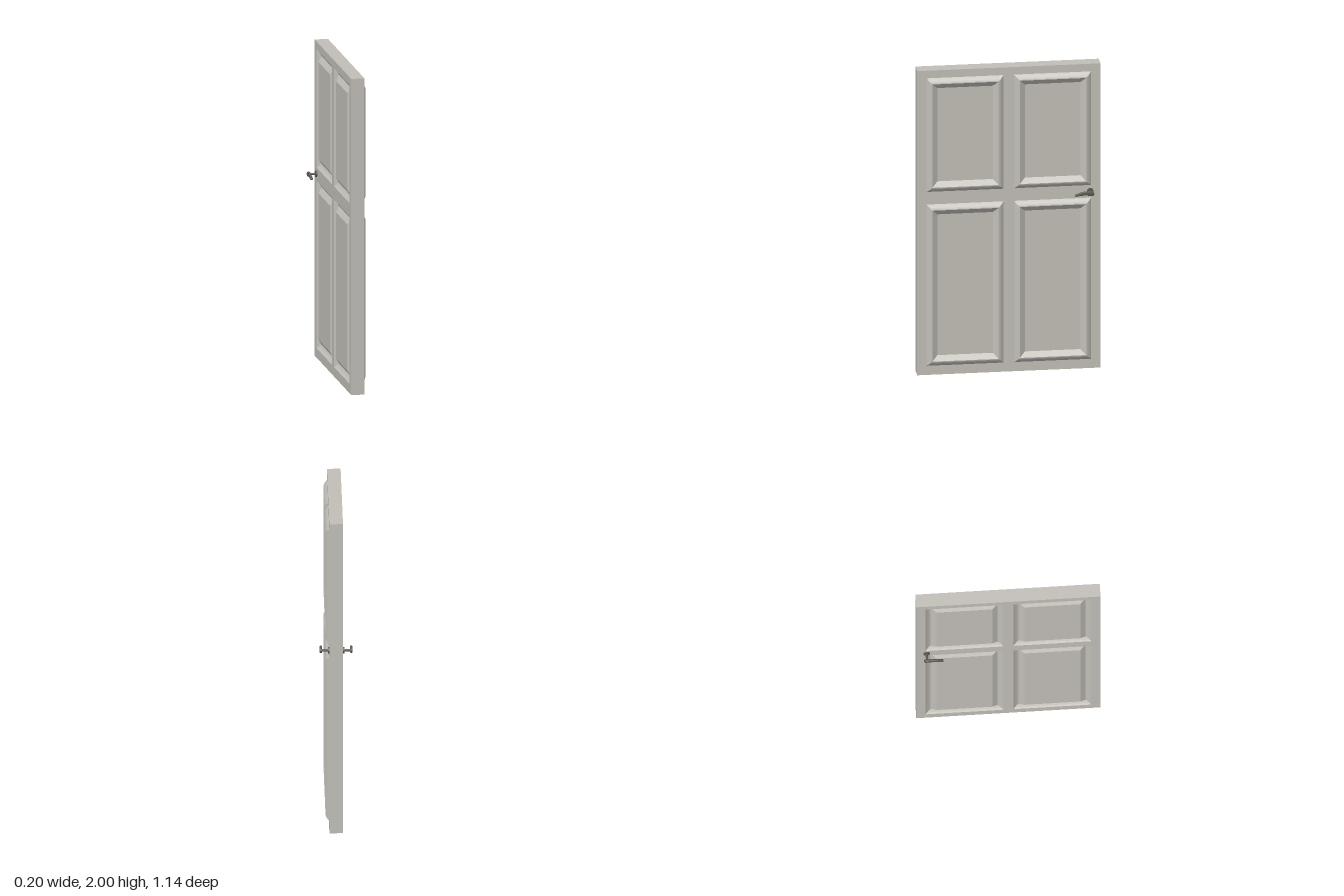
import * as THREE from 'three';

const HALF = 0.042; // half the slab thickness
const WIDTH = 1.14;
const HEIGHT = 2;

const doorPaint = new THREE.MeshStandardMaterial({ color: 0xc2bfb8 });
doorPaint.name = 'doorPaint';
const handleMetal = new THREE.MeshStandardMaterial({ color: 0x5e5a4f });
handleMetal.name = 'handleMetal';

// Panel openings: two columns by two rows
const openings = [];
for (const [z0, z1] of [[0.032, 0.512], [-0.512, -0.032]]) {
  for (const [y0, y1] of [[0.06, 1.12], [1.203, 1.95]]) openings.push({ z0, z1, y0, y1 });
}

// Moulding section as [inset from opening edge, offset along x]
const moulding = [[0, 0], [0.009, 0.009], [0.019, 0.017], [0.028, 0.022], [0.034, 0.023], [0.067, 0]];

// Nested mitred rectangles closed by a flat centre panel; side is the face it sits on
function panelGeometry({ z0, z1, y0, y1 }, side) {
  const rings = moulding.map(([d, offset]) => {
    const x = side * HALF + offset;
    return [[x, y0 + d, z0 + d], [x, y1 - d, z0 + d], [x, y1 - d, z1 - d], [x, y0 + d, z1 - d]];
  });
  const positions = [];
  const quad = (a, b, c, d) => {
    const corners = side > 0 ? [a, b, c, a, c, d] : [a, c, b, a, d, c];
    corners.forEach((p) => positions.push(...p));
  };
  for (let r = 0; r < rings.length - 1; r++) {
    for (let i = 0; i < 4; i++) {
      const j = (i + 1) % 4;
      quad(rings[r][i], rings[r][j], rings[r + 1][j], rings[r + 1][i]);
    }
  }
  quad(...rings[rings.length - 1]);
  const geometry = new THREE.BufferGeometry();
  geometry.setAttribute('position', new THREE.Float32BufferAttribute(positions, 3));
  geometry.computeVertexNormals();
  return geometry;
}

// Slab with four openings, extruded through its thickness
function slabGeometry() {
  const rect = (path, a, b, c, d) =>
    path.moveTo(a, b).lineTo(c, b).lineTo(c, d).lineTo(a, d).closePath();
  const shape = new THREE.Shape();
  rect(shape, -WIDTH / 2, 0, WIDTH / 2, HEIGHT);
  for (const { z0, z1, y0, y1 } of openings) {
    const hole = new THREE.Path();
    rect(hole, z0, y0, z1, y1);
    shape.holes.push(hole);
  }
  return new THREE.ExtrudeGeometry(shape, { depth: HALF * 2, bevelEnabled: false })
    .translate(0, 0, -HALF)
    .rotateY(-Math.PI / 2);
}

// Curved lever with rounded edges, tapering toward its free end
function leverGeometry() {
  const shape = new THREE.Shape();
  shape.moveTo(-0.006, -0.01);
  shape.bezierCurveTo(0.02, -0.007, 0.05, 0.0, 0.096, -0.011);
  shape.quadraticCurveTo(0.101, -0.009, 0.096, -0.006);
  shape.bezierCurveTo(0.07, 0.006, 0.04, 0.015, 0.0, 0.012);
  shape.bezierCurveTo(-0.019, 0.011, -0.019, -0.009, -0.006, -0.01);
  return new THREE.ExtrudeGeometry(shape, {
    depth: 0.005, bevelThickness: 0.0055, bevelSize: 0.004, bevelSegments: 3, curveSegments: 10,
  })
    .translate(0, 0, -0.0025)
    .rotateY(-Math.PI / 2);
}

export function createModel() {
  const model = new THREE.Group();
  model.name = 'panelledDoor';
  const add = (parent, name, geometry, material) => {
    const mesh = new THREE.Mesh(geometry, material);
    mesh.name = name;
    parent.add(mesh);
    return mesh;
  };

  add(model, 'doorSlab', slabGeometry(), doorPaint);

  // Raised moulding on one face, matching groove on the other
  for (const opening of openings) {
    add(model, 'raisedPanel', panelGeometry(opening, 1), doorPaint);
    add(model, 'groovedPanel', panelGeometry(opening, -1), doorPaint);
  }

  // A lever handle on each face
  for (const side of [1, -1]) {
    const handle = new THREE.Group();
    handle.name = side > 0 ? 'leftHandle' : 'rightHandle';
    handle.position.set(0, 1.164, -0.506);
    const rosette = new THREE.CylinderGeometry(0.02, 0.02, 0.01, 24).rotateZ(Math.PI / 2);
    add(handle, 'rosette', rosette, handleMetal).position.x = side * (HALF + 0.004);
    const spindle = new THREE.CylinderGeometry(0.007, 0.007, 0.052, 16).rotateZ(Math.PI / 2);
    add(handle, 'spindle', spindle, handleMetal).position.x = side * (HALF + 0.026);
    add(handle, 'lever', leverGeometry(), handleMetal).position.x = side * 0.094;
    model.add(handle);
  }
  return model;
}
